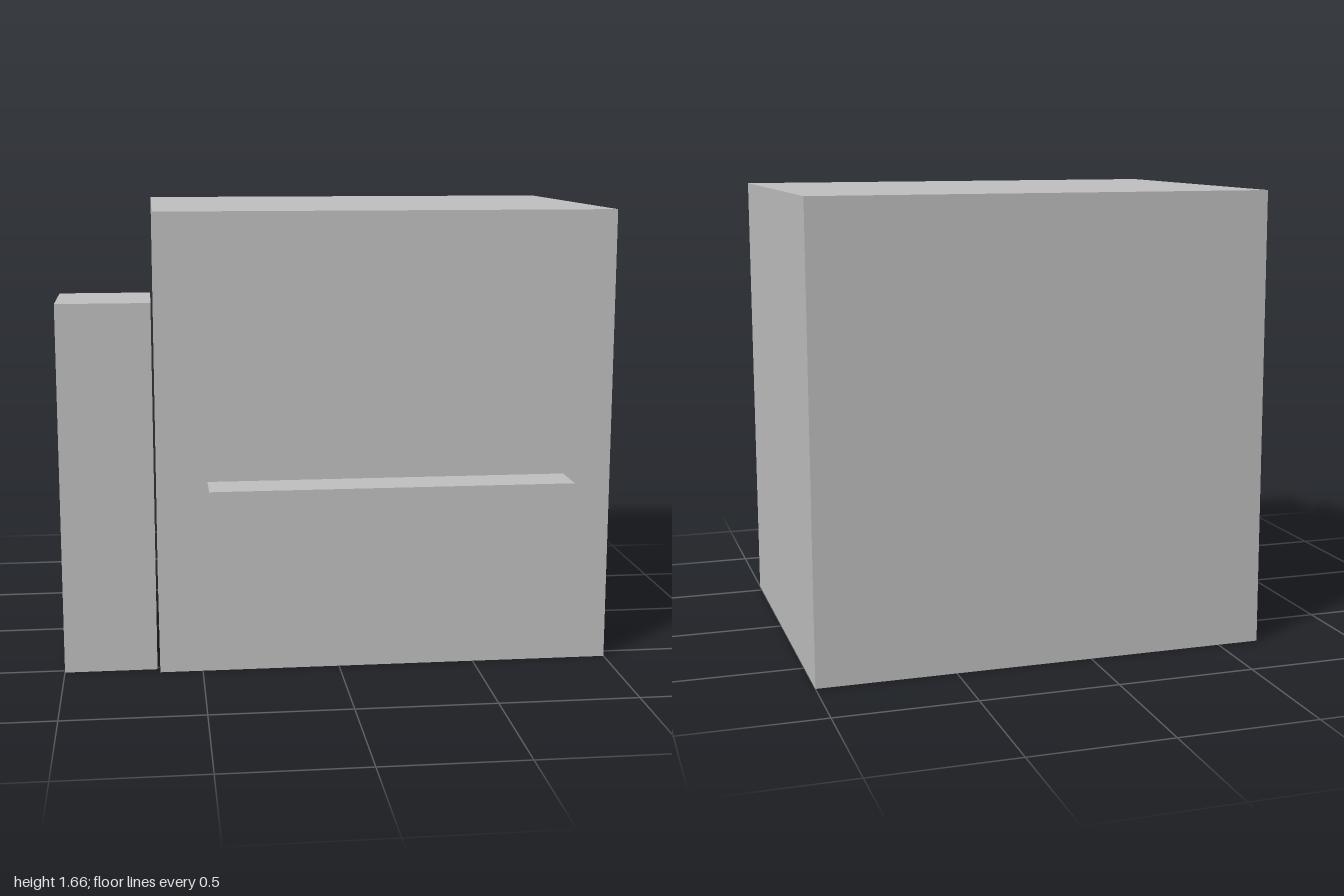
import * as THREE from 'three';

export function createModel() {
  const model = new THREE.Group();
  const grey = new THREE.MeshStandardMaterial({ color: 0xbfbfbf });
  grey.name = 'grey';

  // Box given by its low and high corners
  function block(name, [x0, y0, z0], [x1, y1, z1]) {
    const mesh = new THREE.Mesh(new THREE.BoxGeometry(x1 - x0, y1 - y0, z1 - z0), grey);
    mesh.name = name;
    mesh.position.set((x0 + x1) / 2, (y0 + y1) / 2, (z0 + z1) / 2);
    model.add(mesh);
  }

  block('mainBody', [-0.655, 0, -0.72], [1, 1.665, 0.555]);
  block('sidePillar', [-1, 0, 0.145], [-0.665, 1.345, 0.52]);
  block('frontLedge', [-0.475, 0.667, 0.555], [0.825, 0.705, 0.72]);

  return model;
}
